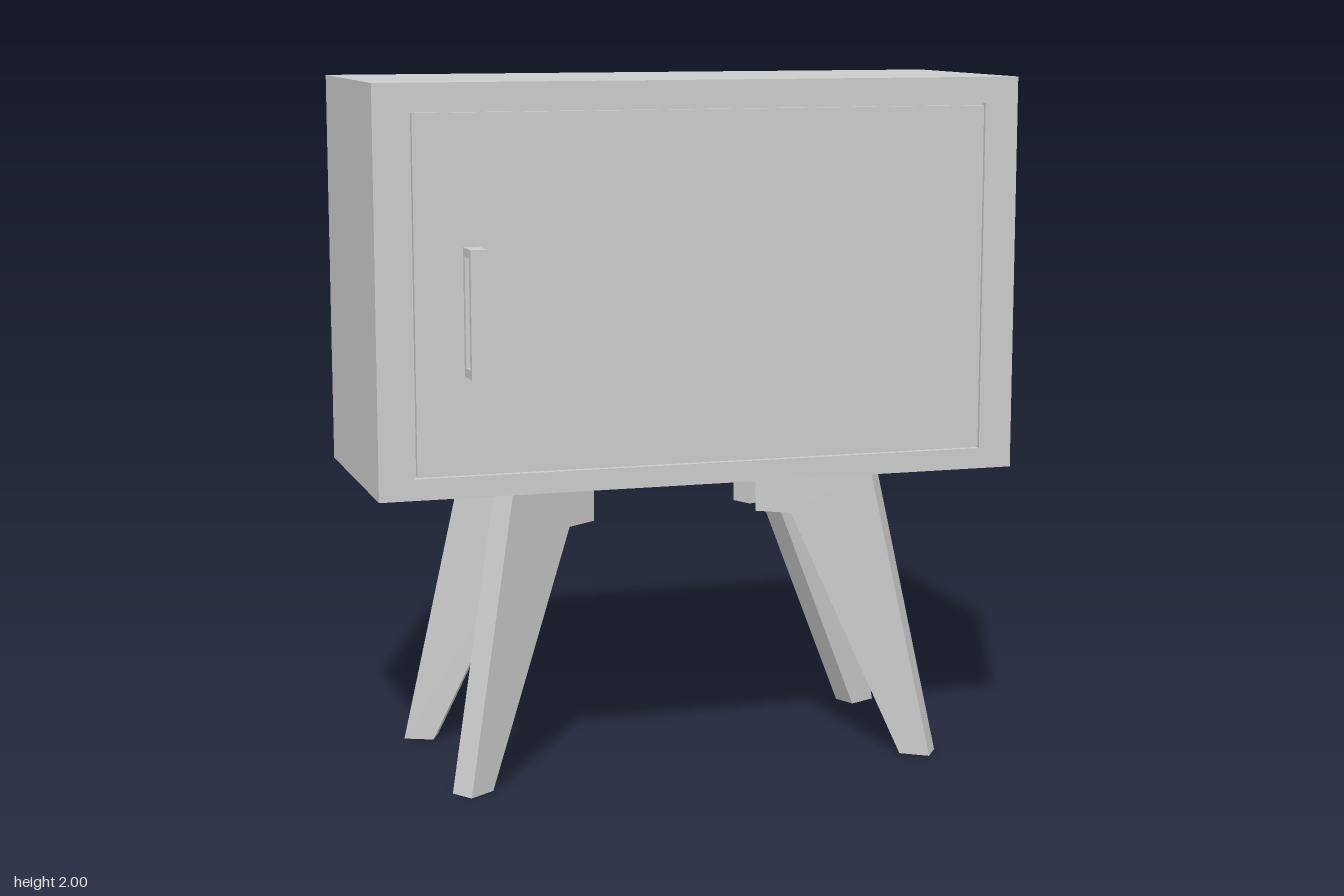
import * as THREE from 'three';

const mat = new THREE.MeshStandardMaterial({ color: 0xcccccc, flatShading: true });

function add(parent, name, geometry, x = 0, y = 0, z = 0) {
  const mesh = new THREE.Mesh(geometry, mat);
  mesh.name = name;
  mesh.position.set(x, y, z);
  parent.add(mesh);
  return mesh;
}

const outline = (pts) => pts.map(([x, y]) => new THREE.Vector2(x, y));
const rect = (x0, y0, x1, y1) => outline([[x0, y0], [x1, y0], [x1, y1], [x0, y1]]);

// Flat plate of the given thickness, centred on z = 0, with an optional hole
function plate(points, thickness, hole) {
  const shape = new THREE.Shape(points);
  if (hole) shape.holes.push(new THREE.Path(hole));
  const g = new THREE.ExtrudeGeometry(shape, { depth: thickness, bevelEnabled: false });
  return g.translate(0, 0, -thickness / 2);
}

export function createModel() {
  const group = new THREE.Group();

  // Cabinet case, with a front frame around the inset door
  const cabinet = new THREE.Group();
  cabinet.name = 'cabinet';
  group.add(cabinet);
  add(cabinet, 'case', new THREE.BoxGeometry(1.88, 1.14, 0.71), 0, 1.43, -0.055);
  add(cabinet, 'frontFrame',
    plate(rect(-0.94, 0.86, 0.94, 2), 0.02, rect(-0.84, 0.92, 0.84, 1.925)), 0, 0, 0.31);
  add(cabinet, 'door', plate(rect(-0.832, 0.926, 0.835, 1.919), 0.02), 0, 0, 0.31);

  // Door handle: a rectangular loop standing out from the door
  const handle = add(cabinet, 'handle',
    plate(rect(-0.41, 1.2, -0.32, 1.555), 0.045, rect(-0.39, 1.225, -0.338, 1.53)), -0.673, 0, 0);
  handle.rotation.y = Math.PI / 2;

  // Splayed plate legs with a bracket at the top; local +x points outward
  const profile = outline([
    [0, 0], [0.19, 0.86], [0.54, 0.86], [0.54, 0.71], [0.43, 0.71], [0.09, 0],
  ].map(([u, y]) => [-u, y]));
  const legGeometry = plate(profile, 0.073);
  const pairs = [
    { name: 'front', x: 0.715, z: 0.3, angle: -34.6 },
    { name: 'back', x: 0.747, z: -0.337, angle: 24 },
  ];
  for (const { name, x, z, angle } of pairs) {
    const a = THREE.MathUtils.degToRad(angle);
    add(group, name + 'LeftLeg', legGeometry, x, 0, z).rotation.y = a;
    add(group, name + 'RightLeg', legGeometry, -x, 0, z).rotation.y = Math.PI - a;
  }

  return group;
}
